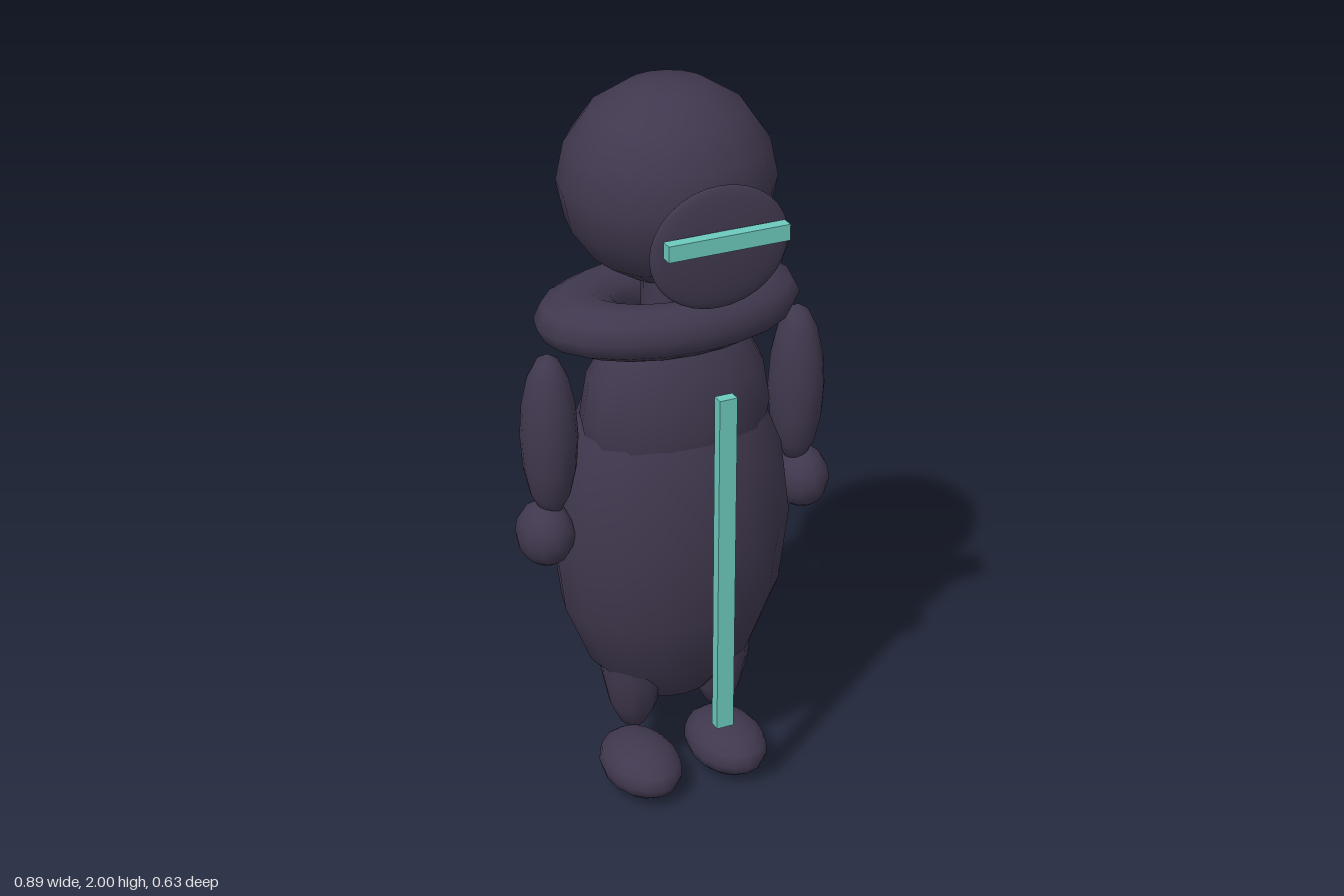
import * as THREE from 'three';

export function createModel() {
  const model = new THREE.Group();
  const dark = new THREE.MeshStandardMaterial({ color: 0x40384e });
  dark.name = 'darkPlum';
  const teal = new THREE.MeshStandardMaterial({ color: 0x6cc9bd });
  teal.name = 'tealGlow';

  const add = (name, geometry, material, x, y, z) => {
    const mesh = new THREE.Mesh(geometry, material);
    mesh.name = name;
    mesh.position.set(x, y, z);
    model.add(mesh);
    return mesh;
  };

  // Low-poly ellipsoid with smooth normals
  const ellipsoid = (name, [x, y, z], [rx, ry, rz], w = 16, h = 8) =>
    add(name, new THREE.SphereGeometry(1, w, h).scale(rx, ry, rz), dark, x, y, z);

  // Head, neck and face plate
  ellipsoid('head', [0, 1.735, -0.047], [0.28, 0.265, 0.267]);
  add('neck', new THREE.CylinderGeometry(0.085, 0.09, 0.3, 12), dark, 0, 1.42, 0);
  ellipsoid('facePlate', [0, 1.667, 0.255], [0.186, 0.16, 0.026], 24, 16);

  // Wide collar ring, stretched sideways
  const collar = new THREE.TorusGeometry(0.153, 0.071, 10, 20)
    .rotateX(Math.PI / 2).scale(1.61, 1, 1);
  add('collar', collar, dark, 0, 1.39, -0.043);

  // Torso
  ellipsoid('chest', [0, 1.12, 0], [0.26, 0.3, 0.175]);
  ellipsoid('body', [0, 0.77, -0.03], [0.33, 0.545, 0.25]);

  // Paired parts
  for (const [side, s] of [['left', 1], ['right', -1]]) {
    ellipsoid(side + 'Eye', [s * 0.12, 1.67, 0.24], [0.03, 0.03, 0.014], 12, 8);
    ellipsoid(side + 'Arm', [s * 0.352, 1.11, 0], [0.074, 0.23, 0.08]);
    ellipsoid(side + 'Hand', [s * 0.37, 0.83, 0], [0.076, 0.088, 0.09], 12, 8);
    ellipsoid(side + 'Leg', [s * 0.127, 0.44, 0], [0.09, 0.277, 0.105], 12, 8);
    ellipsoid(side + 'Foot', [s * 0.129, 0.073, 0.055], [0.106, 0.073, 0.15]);
  }

  // Glowing visor bar and chest strip floating in front
  add('visor', new THREE.BoxGeometry(0.322, 0.042, 0.032), teal, 0, 1.7, 0.298);
  add('chestStrip', new THREE.BoxGeometry(0.048, 0.97, 0.03), teal, 0, 0.797, 0.3);

  return model;
}
